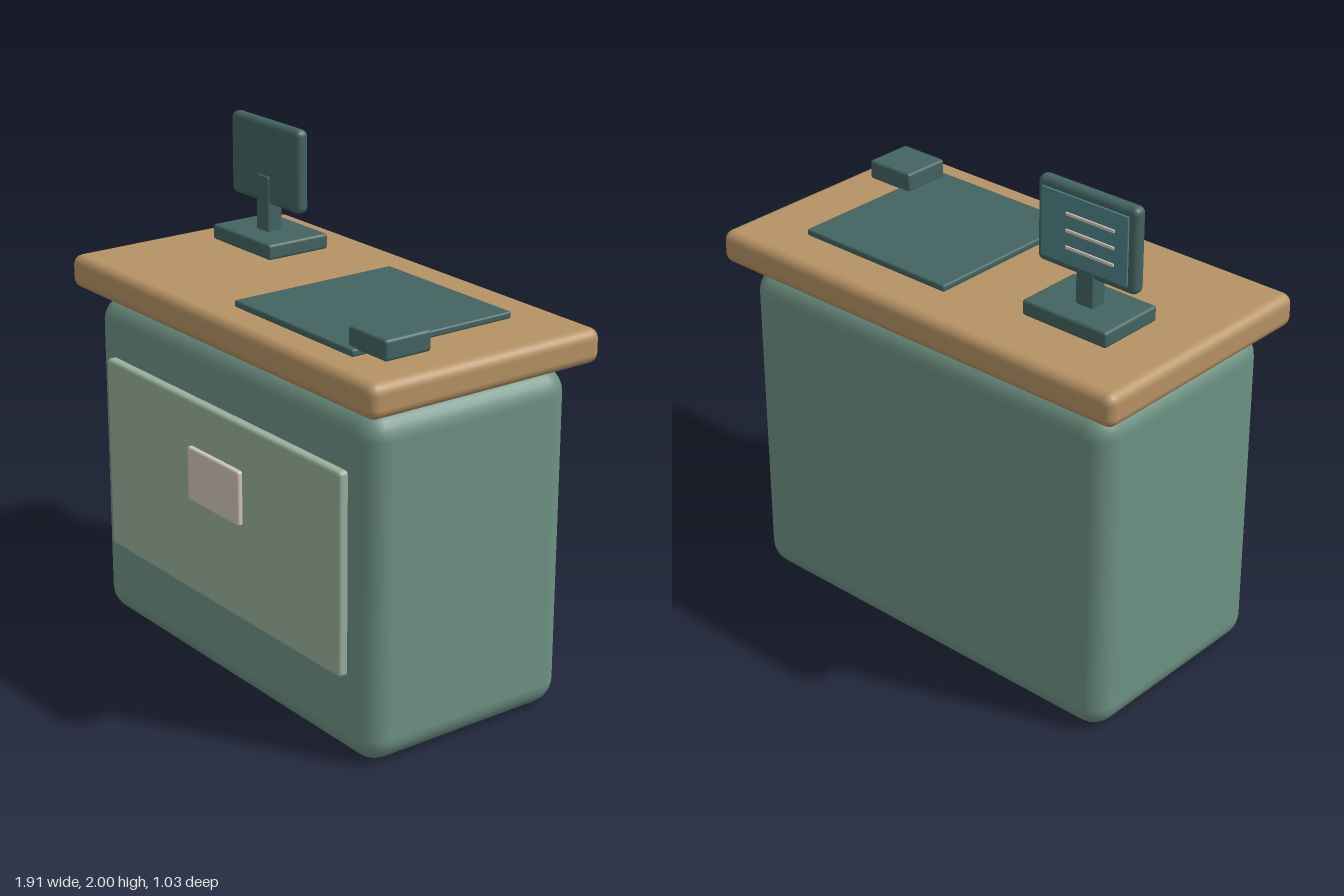
import * as THREE from 'three';
import { RoundedBoxGeometry } from 'three/addons/geometries/RoundedBoxGeometry.js';

const material = (name, color) => {
  const m = new THREE.MeshStandardMaterial({ color });
  m.name = name;
  return m;
};

// Rounded block given by its extents on each axis
function block(name, mat, [x0, x1], [y0, y1], [z0, z1], radius, segments = 3) {
  const geometry = new RoundedBoxGeometry(x1 - x0, y1 - y0, z1 - z0, segments, radius);
  const mesh = new THREE.Mesh(geometry, mat);
  mesh.name = name;
  mesh.position.set((x0 + x1) / 2, (y0 + y1) / 2, (z0 + z1) / 2);
  return mesh;
}

export function createModel() {
  const green = material('cabinet green', 0x6d9183);
  const sage = material('panel sage', 0x98b09a);
  const cream = material('plaque cream', 0xd0c7b9);
  const wood = material('counter wood', 0xb69264);
  const dark = material('dark teal', 0x426361);
  const glass = material('screen teal', 0x4d838a);

  const model = new THREE.Group();
  model.name = 'receptionDesk';

  // Cabinet with raised front panel and plain plaque
  model.add(
    block('cabinet', green, [-0.882, 0.882], [0, 1.335], [-0.457, 0.457], 0.1, 3),
    block('frontPanel', sage, [-0.75, 0.75], [0.33, 1.11], [0.43, 0.492], 0.015),
    block('plaque', cream, [-0.168, 0.165], [0.715, 0.93], [0.475, 0.511], 0.01),
  );

  // Worktop
  model.add(block('countertop', wood, [-0.956, 0.956], [1.355, 1.487], [-0.516, 0.516], 0.04));

  // Desk mat and small box on its corner
  model.add(
    block('deskMat', dark, [-0.02, 0.682], [1.487, 1.514], [-0.328, 0.388], 0.008),
    block('smallBox', dark, [0.625, 0.836], [1.507, 1.585], [0.165, 0.365], 0.012),
  );

  // Monitor, its screen turned to the back of the desk
  const monitor = new THREE.Group();
  monitor.name = 'monitor';
  monitor.add(
    block('monitorBase', dark, [-0.743, -0.362], [1.505, 1.567], [-0.293, -0.012], 0.012),
    block('monitorStand', dark, [-0.594, -0.514], [1.55, 1.787], [-0.186, -0.116], 0.01),
    block('monitorCase', dark, [-0.776, -0.33], [1.672, 2], [-0.182, -0.124], 0.025),
    block('screen', glass, [-0.747, -0.36], [1.705, 1.97], [-0.192, -0.183], 0.004, 2),
  );
  for (const y of [1.9, 1.836, 1.772]) {
    monitor.add(block('screenStripe', cream, [-0.69, -0.475], [y - 0.006, y + 0.006], [-0.199, -0.191], 0.002, 1));
  }
  model.add(monitor);

  return model;
}
